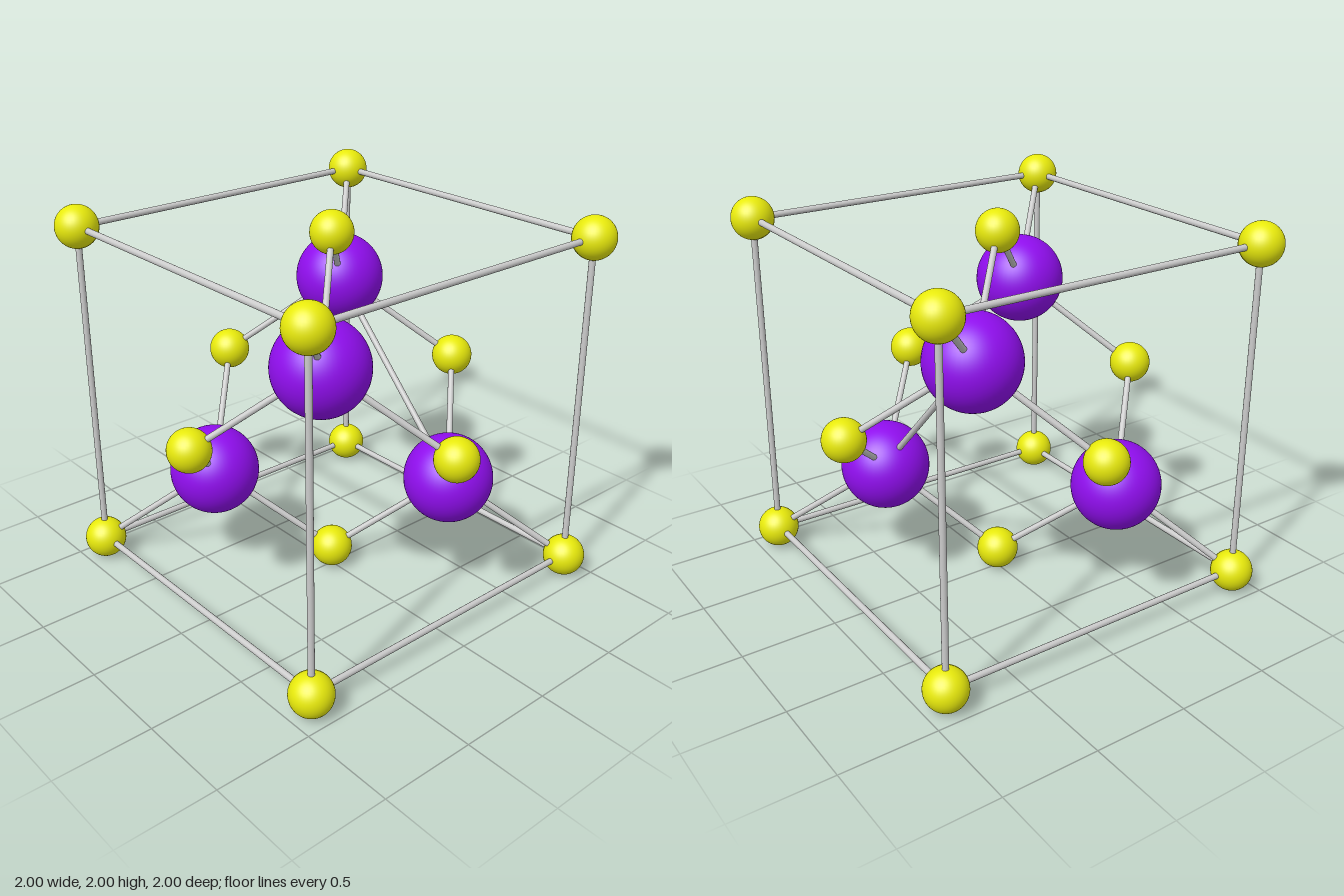
import * as THREE from 'three';

const H = 0.89;            // half edge of the cell
const SMALL_R = 0.11, LARGE_R = 0.237, ROD_R = 0.0165;

export function createModel() {
  const model = new THREE.Group();
  model.name = 'crystalCell';

  const yellow = new THREE.MeshStandardMaterial({ color: 0xe8ea0c });
  const purple = new THREE.MeshStandardMaterial({ color: 0x900eee });
  const grey = new THREE.MeshStandardMaterial({ color: 0xcccccc });

  const smallGeo = new THREE.SphereGeometry(SMALL_R, 40, 28);
  const largeGeo = new THREE.SphereGeometry(LARGE_R, 56, 40);
  const rodGeo = new THREE.CylinderGeometry(ROD_R, ROD_R, 1, 20);
  const up = new THREE.Vector3(0, 1, 0);

  function addBall(name, geo, mat, p) {
    const ball = new THREE.Mesh(geo, mat);
    ball.name = name;
    ball.position.copy(p);
    model.add(ball);
  }

  function addRod(name, a, b) {
    const dir = b.clone().sub(a);
    const rod = new THREE.Mesh(rodGeo, grey);
    rod.name = name;
    rod.scale.y = dir.length();
    rod.position.copy(a).add(b).multiplyScalar(0.5);
    rod.quaternion.setFromUnitVectors(up, dir.normalize());
    model.add(rod);
  }

  // Small atoms: cube corners and face centres
  const corners = [], faces = [];
  for (const x of [-1, 1]) for (const y of [-1, 1]) for (const z of [-1, 1])
    corners.push(new THREE.Vector3(x * H, 1 + y * H, z * H));
  for (const s of [-H, H]) {
    faces.push(new THREE.Vector3(s, 1, 0), new THREE.Vector3(0, 1 + s, 0), new THREE.Vector3(0, 1, s));
  }
  corners.forEach(p => addBall('cornerAtom', smallGeo, yellow, p));
  faces.forEach(p => addBall('faceAtom', smallGeo, yellow, p));

  // Large atoms: a slightly uneven tetrahedron inside the cell
  const large = [
    new THREE.Vector3(-0.453, 1.45, 0.448),
    new THREE.Vector3(0.435, 0.56, 0.438),
    new THREE.Vector3(0.441, 1.45, -0.446),
    new THREE.Vector3(-0.444, 0.56, -0.447),
  ];
  large.forEach(p => addBall('largeAtom', largeGeo, purple, p));

  // Cell edges: corner pairs one edge length apart
  corners.forEach((a, i) => corners.slice(i + 1).forEach(b => {
    if (a.distanceTo(b) < 2 * H + 0.01) addRod('cellEdge', a, b);
  }));

  // Bonds: each large atom to its four nearest small atoms
  for (const a of large) for (const b of [...corners, ...faces])
    if (a.distanceTo(b) < 0.9) addRod('bond', a, b);

  // Single bond between two large atoms
  addRod('crossBond', large[1], large[2]);

  return model;
}
